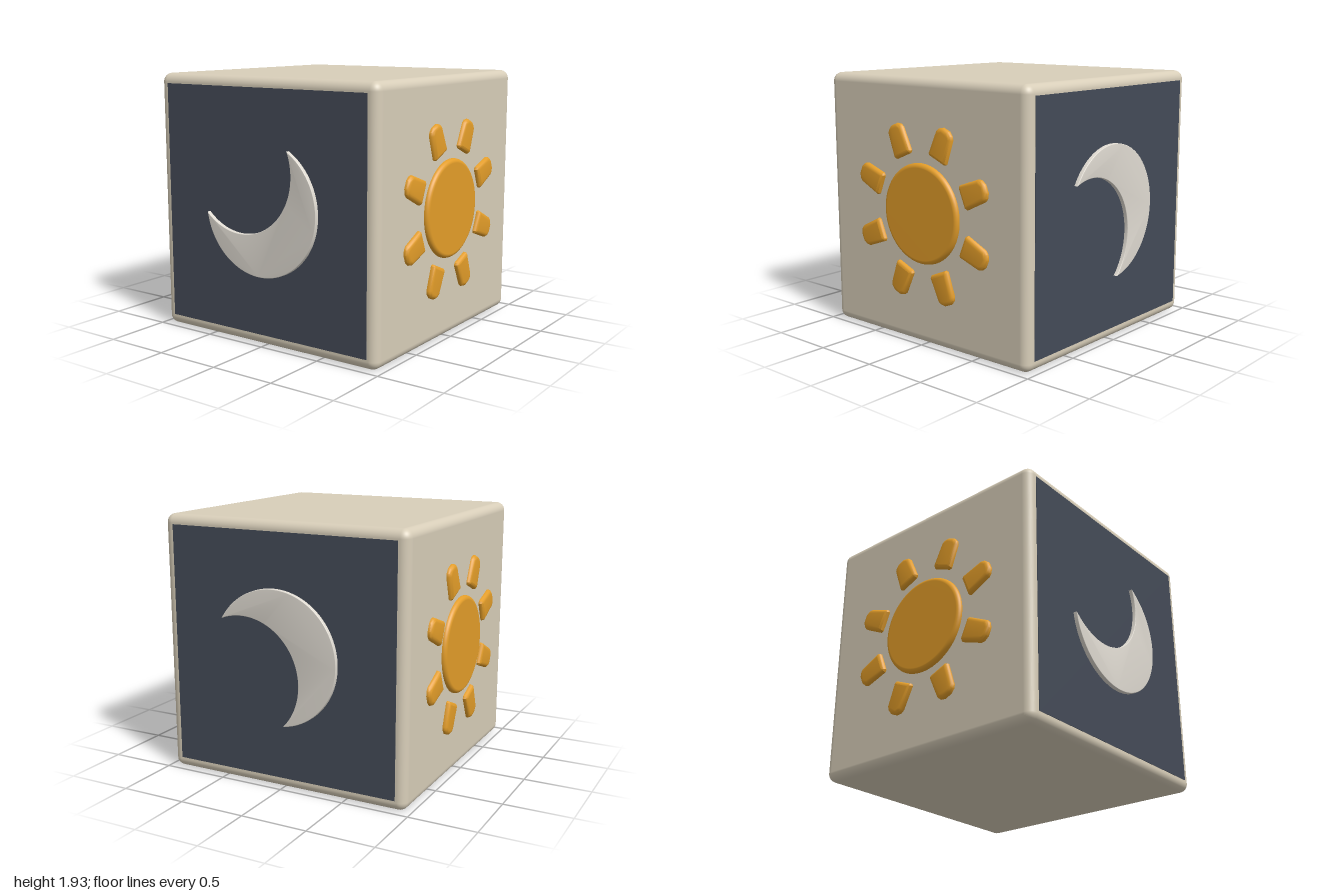
import * as THREE from 'three';
import { RoundedBoxGeometry } from 'three/addons/geometries/RoundedBoxGeometry.js';
import { toCreasedNormals } from 'three/addons/utils/BufferGeometryUtils.js';

const SIDE = 1.934, HALF = SIDE / 2, TOP = 1.0; // reliefs reach 1.0 from the centre

const material = (color) => new THREE.MeshStandardMaterial({ color });

function mesh(name, geometry, mat) {
  const m = new THREE.Mesh(geometry, mat);
  m.name = name;
  return m;
}

// Raised relief with a rounded rim, its outline kept at full size at the base
function relief(shape, bevel, curveSegments, crease) {
  const base = HALF - 0.01;
  const geo = new THREE.ExtrudeGeometry(shape, {
    depth: TOP - base - bevel, bevelThickness: bevel, bevelSize: bevel,
    bevelOffset: -bevel, bevelSegments: 4, curveSegments,
  });
  geo.translate(0, 0, base);
  return toCreasedNormals(geo, crease);
}

// One sun ray lying along +x: broad inner edge, chamfered outer tip
function rayShape() {
  const half = [[0.435, 0.075], [0.45, 0.09], [0.63, 0.08], [0.655, 0.065], [0.675, 0.03]];
  const outline = [
    ...half.map(([x, y]) => new THREE.Vector2(x, -y)),
    ...half.slice().reverse().map(([x, y]) => new THREE.Vector2(x, y)),
  ];
  return new THREE.Shape(outline);
}

// Crescent: a disc of radius R cut by a circle of radius r, a distance d to the left
function crescentShape(R = 0.495, r = 0.455, d = 0.31) {
  const a = (R * R - r * r + d * d) / (2 * d);
  const h = Math.sqrt(R * R - a * a);
  const outer = Math.atan2(h, -a), inner = Math.atan2(h, d - a);
  const s = new THREE.Shape();
  s.absarc(0, 0, R, -outer, outer, false);
  s.absarc(-d, 0, r, inner, -inner, true);
  return s;
}

// Round sun disc with a softened rim, facing +z
function discGeometry() {
  const R = 0.366, b = 0.032;
  const profile = [new THREE.Vector2(R, HALF - 0.01)];
  for (let i = 0; i <= 6; i++) {
    const t = (i / 6) * Math.PI / 2;
    profile.push(new THREE.Vector2(R - b + b * Math.cos(t), TOP - b + b * Math.sin(t)));
  }
  profile.push(new THREE.Vector2(0, TOP));
  const geo = new THREE.LatheGeometry(profile, 72);
  geo.rotateX(Math.PI / 2);
  return geo;
}

export function createModel() {
  const model = new THREE.Group();
  model.name = 'sunMoonCube';
  const cream = material(0xd8ceb9), orange = material(0xe39d29);
  const navy = material(0x444b57), pale = material(0xdfdad1);

  // Cube body
  const body = mesh('cubeBody', new RoundedBoxGeometry(SIDE, SIDE, SIDE, 5, 0.065), cream);
  body.position.y = HALF;
  model.add(body);

  // Suns on the front and back
  const disc = discGeometry();
  const ray = relief(rayShape(), 0.03, 8, 0.6);
  for (const [name, turn] of [['frontSun', 0], ['backSun', Math.PI]]) {
    const sun = new THREE.Group();
    sun.name = name;
    sun.add(mesh('sunDisc', disc, orange));
    for (let i = 0; i < 8; i++) {
      const r = mesh('sunRay', ray, orange);
      r.rotation.z = (i + 0.5) * Math.PI / 4;
      sun.add(r);
    }
    sun.position.y = 0.97;
    sun.rotation.y = turn;
    model.add(sun);
  }

  // Dark panels with crescent moons on both sides, one moon a quarter turn from the other
  const moonGeo = relief(crescentShape(), 0.004, 48, 0.5);
  moonGeo.rotateZ(THREE.MathUtils.degToRad(34));
  moonGeo.translate(-0.04, 0, 0);
  const panelGeo = new THREE.BoxGeometry(1.78, 1.78, 0.02);
  panelGeo.translate(0, 0, HALF - 0.007);
  for (const [name, turn, spin] of [
    ['leftMoonFace', Math.PI / 2, 0],
    ['rightMoonFace', -Math.PI / 2, -Math.PI / 2],
  ]) {
    const face = new THREE.Group();
    face.name = name;
    const moon = mesh('crescentMoon', moonGeo, pale);
    moon.rotation.z = spin;
    face.add(mesh('darkPanel', panelGeo, navy), moon);
    face.position.y = 0.97;
    face.rotation.y = turn;
    model.add(face);
  }
  return model;
}
